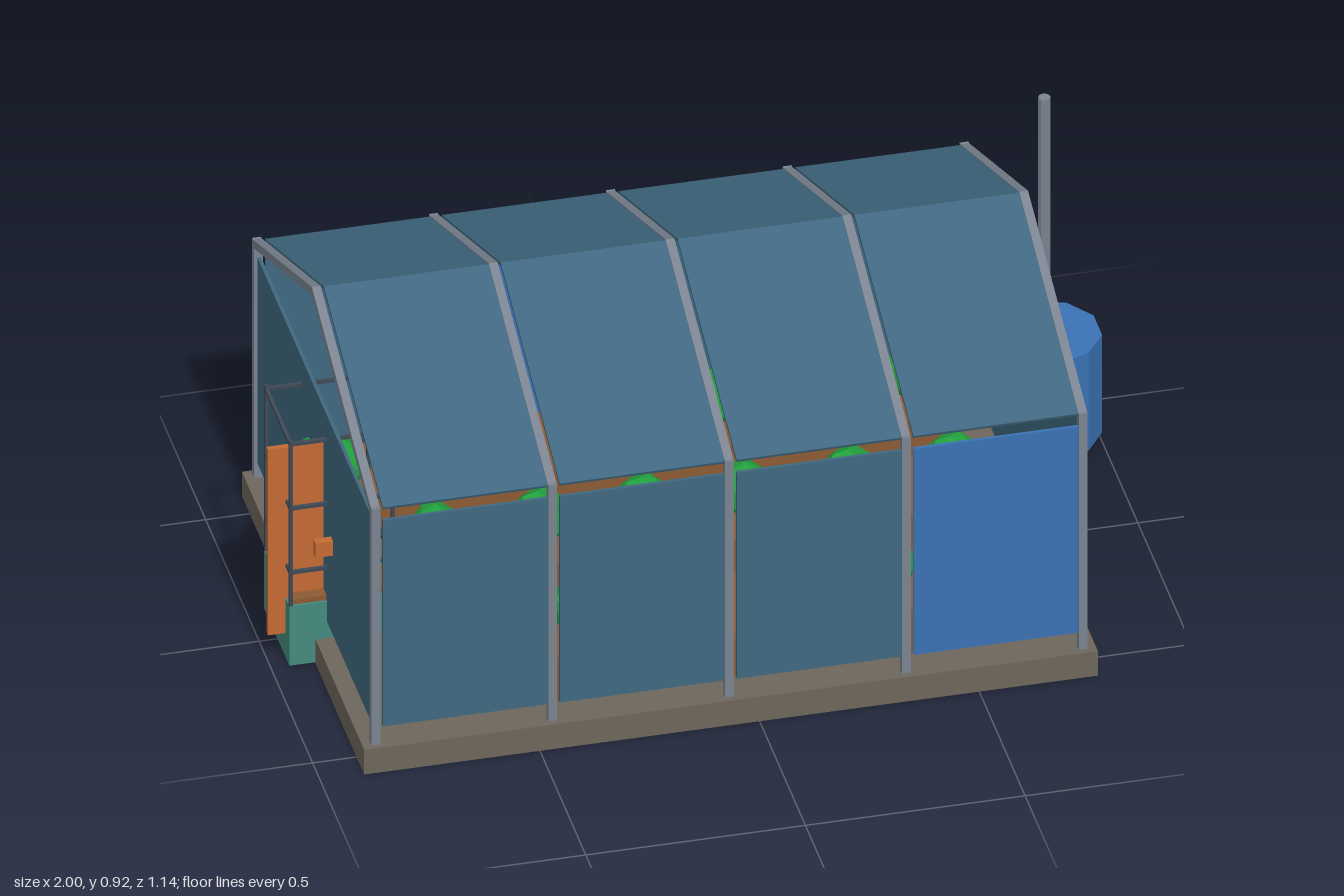
import * as THREE from 'three';

const mat = (name, color, side = THREE.FrontSide) => {
  const m = new THREE.MeshStandardMaterial({ color, side });
  m.name = name;
  m.flatShading = true;
  return m;
};

export function createModel() {
  const M = {
    stone: mat('stone', 0x6e665c),
    metal: mat('greyMetal', 0x7a8490),
    glass: mat('blueGreyGlass', 0x406880),
    blue: mat('blue', 0x3a72b4),
    wood: mat('brownWood', 0x8b5a33),
    door: mat('orangeWood', 0xc46a32),
    teal: mat('teal', 0x448a7d),
    leaf: mat('leafGreen', 0x22a03c),
    wire: mat('darkWire', 0x3f4a56),
  };
  const root = new THREE.Group();
  root.name = 'greenhouse';

  const add = (name, geo, material, x, y, z, parent = root) => {
    const mesh = new THREE.Mesh(geo, material);
    mesh.name = name;
    mesh.position.set(x, y, z);
    parent.add(mesh);
    return mesh;
  };
  // Box given by its limits on each axis
  const box = (name, material, x0, x1, y0, y1, z0, z1, parent = root) =>
    add(name, new THREE.BoxGeometry(x1 - x0, y1 - y0, z1 - z0), material,
      (x0 + x1) / 2, (y0 + y1) / 2, (z0 + z1) / 2, parent);

  // Base slab
  box('baseSlab', M.stone, -0.9, 0.77, 0, 0.065, -0.572, 0.572);

  // Five portal frames: two posts and two rafters each
  const frameX = [-0.87, -0.4675, -0.065, 0.3375, 0.74];
  const eave = { y: 0.682, z: 0.549 }, ridgeY = 0.911;
  const slope = Math.atan2(ridgeY - eave.y, eave.z);
  const rafterLength = Math.hypot(ridgeY - eave.y, eave.z);
  for (const x of frameX) {
    const frame = new THREE.Group();
    frame.name = 'portalFrame';
    root.add(frame);
    for (const s of [-1, 1]) {
      const z = s * eave.z;
      box('post', M.metal, x - 0.01, x + 0.01, 0.065, 0.692, z - 0.009, z + 0.009, frame);
      const rafter = add('rafter', new THREE.BoxGeometry(0.02, 0.02, rafterLength + 0.008), M.metal,
        x, (eave.y + ridgeY) / 2, z / 2, frame);
      rafter.rotation.x = s * slope;
    }
  }

  // Wall and roof panels in each bay, one blue wall panel per side
  for (let i = 0; i < 4; i++) {
    const x0 = frameX[i] + 0.0175, x1 = frameX[i + 1] - 0.0075;
    for (const s of [-1, 1]) {
      const isBlue = s > 0 ? i === 3 : i === 1;
      box('wallPanel', isBlue ? M.blue : M.glass, x0, x1, 0.108, 0.655,
        s * 0.549 - 0.004, s * 0.549 + 0.004);
      const roof = add('roofPanel', new THREE.BoxGeometry(x1 - x0, 0.008, rafterLength + 0.004), M.glass,
        (x0 + x1) / 2, (eave.y + ridgeY) / 2 + 0.004, s * eave.z / 2);
      roof.rotation.x = s * slope;
    }
  }

  // End walls, with open gables above
  for (const x of [frameX[0], frameX[4]])
    box('endPanel', M.glass, x - 0.004, x + 0.004, 0.108, 0.655, -0.533, 0.533);

  // Open door and handle at the right-hand end
  box('door', M.door, -1, -0.874, 0.07, 0.562, 0.07, 0.084);
  box('doorHandle', M.door, -0.914, -0.874, 0.32, 0.358, 0.154, 0.174);

  // Leafy clump with slightly uneven vertices
  const clump = (r, seed) => {
    const g = new THREE.IcosahedronGeometry(r, 1);
    const p = g.attributes.position;
    for (let i = 0; i < p.count; i++) {
      const a = p.getX(i) / r, b = p.getY(i) / r, c = p.getZ(i) / r;
      const k = 0.9 + 0.1 * Math.sin(a * 5 + seed) * Math.cos(b * 4 - c * 5 + seed);
      p.setXYZ(i, a * r * k, b * r * k, c * r * k);
    }
    g.computeVertexNormals();
    return g;
  };

  // Three raised beds with rows of plants
  [-0.365, 0, 0.365].forEach((z, row) => {
    // The middle bed stops short of the planter
    const start = row === 1 ? -0.68 : -0.765;
    box('raisedBed', M.wood, start, 0.64, 0.065, 0.18, z - 0.116, z + 0.116);
    for (let i = 0; i < 6; i++)
      add('bedPlant', clump(0.07, i + row * 2), M.leaf, -0.6 + i * 0.235, 0.235, z);
  });

  // Planter box, soil and climbing frame
  const px0 = -0.96, px1 = -0.72, pz = 0.118;
  box('planter', M.teal, px0, px1, 0.005, 0.162, -pz, pz);
  box('planterSoil', M.wood, px0 + 0.006, px1 - 0.006, 0.162, 0.175, -pz + 0.006, pz - 0.006);
  const w = 0.004;
  for (const x of [px0 + w, px1 - w])
    for (const z of [-pz + w, pz - w])
      box('climbingPole', M.wire, x - w, x + w, 0.16, 0.6, z - w, z + w);
  for (const y of [0.25, 0.42, 0.59]) {
    for (const x of [px0 + w, px1 - w])
      box('climbingBar', M.wire, x - w, x + w, y - w, y + w, -pz, pz);
    for (const z of [-pz + w, pz - w])
      box('climbingBar', M.wire, px0, px1, y - w, y + w, z - w, z + w);
  }
  const climber = add('climbingPlant', clump(0.11, 1), M.leaf, -0.852, 0.44, -0.015);
  climber.scale.set(1, 0.6, 0.85);

  // Ten-sided water barrel with downpipe
  add('waterBarrel', new THREE.CylinderGeometry(0.128, 0.128, 0.26, 10), M.blue, 0.876, 0.16, -0.365);
  add('downpipe', new THREE.CylinderGeometry(0.014, 0.014, 0.625, 8), M.metal, 0.876, 0.6025, -0.365);

  return root;
}
